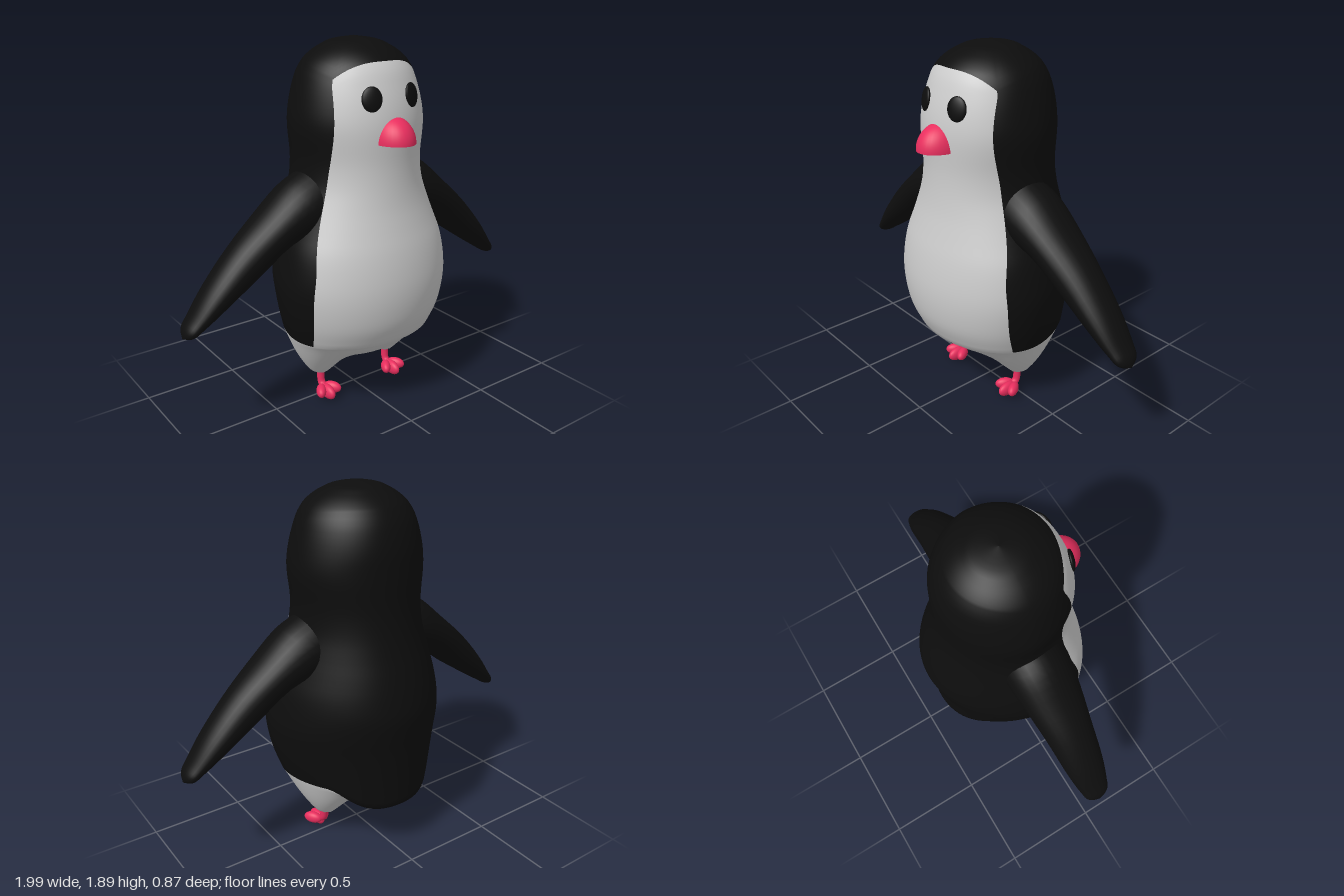
import * as THREE from 'three';

const mat = (color) => new THREE.MeshStandardMaterial({ color });
const GREY = mat(0xcccccc), BLACK = mat(0x0d0d0d), PINK = mat(0xe82e5e);
const { smoothstep, lerp } = THREE.MathUtils;

// Smooth curve through [key, value, value, ...] rows
function curve(rows) {
  const size = rows[0].length - 1;
  const f = new THREE.CubicInterpolant(rows.map((r) => r[0]), rows.flatMap((r) => r.slice(1)), size, new Float32Array(size));
  return (t) => [...f.evaluate(t)];
}

// Body profile: y, half width, front z, back z, z of the widest line
const profile = curve([
  [0.40, 0.41, 0.365, -0.395, 0.05],
  [0.50, 0.44, 0.41, -0.40, 0.07],
  [0.60, 0.46, 0.43, -0.41, 0.08],
  [0.70, 0.47, 0.435, -0.425, 0.08],
  [0.80, 0.46, 0.427, -0.435, 0.08],
  [0.90, 0.44, 0.41, -0.42, 0.07],
  [1.00, 0.405, 0.385, -0.395, 0.05],
  [1.10, 0.37, 0.362, -0.365, 0.03],
  [1.20, 0.34, 0.348, -0.34, 0.01],
  [1.30, 0.33, 0.342, -0.325, 0],
  [1.50, 0.345, 0.345, -0.32, 0],
  [1.60, 0.33, 0.33, -0.315, 0],
  [1.70, 0.302, 0.30, -0.292, 0],
  [1.75, 0.28, 0.28, -0.27, 0],
  [1.80, 0.24, 0.245, -0.232, 0],
  [1.85, 0.165, 0.17, -0.16, 0],
  [1.875, 0.10, 0.10, -0.10, 0],
  [1.89, 0, 0, 0, 0],
]);
// Half angle of the pale front at each height
const frontAngle = curve([[0.4, 1.16], [0.6, 1.1], [0.8, 1.06], [1.0, 1.08], [1.25, 1.02], [1.5, 0.89], [1.72, 0.95], [1.9, 0.95]]);

const FRONT = 32, COLS = 88, CAP = 32, SIDE = 48, DOME = 16;
const RIM = 0.4, BROW = 1.79, TOP = 1.89;

// Point on the body wall, with the brow line sagging at its ends and the tail drooping
function wallPoint(col, y) {
  const a = frontAngle(y)[0];
  const inFront = col <= FRONT;
  const k = inFront ? (2 * col) / FRONT - 1 : 1 - Math.abs((2 * (col - FRONT)) / (COLS - FRONT) - 1);
  const theta = inFront ? a * k : lerp(a, 2 * Math.PI - a, (col - FRONT) / (COLS - FRONT));
  const sag = inFront ? Math.abs(k) ** 3 : (1 - k) ** 3;
  const yy = y - 0.075 * sag * Math.exp(-(((y - BROW) / 0.09) ** 2)) * (1 - smoothstep(y, BROW, TOP));
  const [w, zf, zb, zc] = profile(yy);
  const s = Math.sin(theta), c = Math.cos(theta);
  const x = w * s;
  const z = c > 0 ? zc + (zf - zc) * c : zc + (zb - zc) * Math.abs(c) ** 1.12;
  const droop = 0.11 * smoothstep(-z, 0.2, 0.39);
  return { x, y: yy - droop * (1 - smoothstep(y, RIM, 0.65)), z, droop };
}

// Underside: a shallow bowl pulled down into two leg stumps
function underPoint(col, s) {
  const rim = wallPoint(col, RIM);
  const x = rim.x * s, z = rim.z * s;
  const bowl = 0.24 + 0.16 * s ** 2.5;
  const d = Math.hypot(Math.abs(x) - 0.22, (z + 0.015) * 0.92);
  const leg = 0.14 + 1.15 * Math.max(0, d - 0.05);
  const h = Math.max(0.05 - Math.abs(bowl - leg), 0) / 0.05;
  const low = Math.min(bowl, leg) - h * h * 0.0125;
  return { x, y: lerp(low, RIM, s ** 10) - rim.droop * s ** 8, z };
}

function buildBody() {
  const pos = [], grey = [], black = [];
  const rows = CAP + SIDE + DOME;
  for (let r = 0; r <= rows; r++) {
    for (let c = 0; c < COLS; c++) {
      let p;
      if (r < CAP) p = underPoint(c, r / CAP);
      else if (r <= CAP + SIDE) p = wallPoint(c, lerp(RIM, BROW, (r - CAP) / SIDE));
      else p = wallPoint(c, lerp(BROW, TOP, Math.sin(((r - CAP - SIDE) / DOME) * Math.PI / 2)));
      pos.push(p.x, p.y, p.z);
      if (r === rows) continue;
      const pale = r < CAP || (c < FRONT && r < CAP + SIDE);
      const n = (c + 1) % COLS, i = r * COLS;
      (pale ? grey : black).push(i + c, i + n, i + COLS + n, i + c, i + COLS + n, i + COLS + c);
    }
  }
  const whole = new THREE.BufferGeometry();
  whole.setAttribute('position', new THREE.Float32BufferAttribute(pos, 3));
  whole.setIndex([...grey, ...black]);
  whole.computeVertexNormals();
  // Both coats share vertices and normals so the surface stays smooth across them
  return [grey, black].map((index) => whole.clone().setIndex(index));
}

// Flipper rings: centre x, centre y, thickness radius, z radius
function buildFlipper(side) {
  const ring = curve([
    [0, 0.20, 1.12, 0.19, 0.17],
    [1, 0.33, 1.09, 0.155, 0.17],
    [2, 0.49, 1.01, 0.11, 0.15],
    [3, 0.655, 0.88, 0.098, 0.125],
    [4, 0.81, 0.745, 0.072, 0.105],
    [5, 0.92, 0.64, 0.043, 0.08],
    [6, 0.975, 0.588, 0.025, 0.052],
    [6.5, 0.995, 0.57, 0, 0],
  ]);
  const R = 30, C = 28, pos = [], idx = [];
  for (let r = 0; r <= R; r++) {
    const t = 6.5 * Math.sin((r / R) * Math.PI / 2);
    const [x, y, a, b] = ring(t);
    for (let c = 0; c < C; c++) {
      const q = (c / C) * Math.PI * 2, u = a * Math.cos(q);
      pos.push(side * (x + 0.6 * u), y + 0.8 * u, 0.02 + b * Math.sin(q));
      if (r === R) continue;
      const n = (c + 1) % C, i = r * C, j = i + C;
      if (side > 0) idx.push(i + c, i + n, j + n, i + c, j + n, j + c);
      else idx.push(i + c, j + n, i + n, i + c, j + c, j + n);
    }
  }
  const g = new THREE.BufferGeometry();
  g.setAttribute('position', new THREE.Float32BufferAttribute(pos, 3));
  g.setIndex(idx);
  g.computeVertexNormals();
  return g;
}

export function createModel() {
  const model = new THREE.Group();
  const add = (name, geometry, material, parent = model) => {
    const m = new THREE.Mesh(geometry, material);
    m.name = name;
    parent.add(m);
    return m;
  };
  const ball = new THREE.SphereGeometry(1, 24, 16);

  const [pale, dark] = buildBody();
  add('bellyAndFace', pale, GREY);
  add('backAndHead', dark, BLACK);

  // Beak: half dome with a flat underside
  const beak = new THREE.Group();
  beak.name = 'beak';
  add('beakDome', new THREE.SphereGeometry(1, 32, 16, 0, Math.PI * 2, 0, Math.PI / 2), PINK, beak);
  add('beakBase', new THREE.CircleGeometry(1, 32).rotateX(Math.PI / 2), PINK, beak);
  beak.scale.set(0.102, 0.125, 0.132);
  beak.position.set(0, 1.42, 0.305);
  model.add(beak);

  for (const side of [1, -1]) {
    const label = side > 0 ? 'left' : 'right';
    add(label + 'Flipper', buildFlipper(side), BLACK);

    const eye = add(label + 'Eye', ball, BLACK);
    eye.scale.set(0.05, 0.059, 0.016);
    eye.position.set(side * 0.117, 1.63, 0.302);
    eye.rotation.set(-0.17, side * 0.37, 0, 'YXZ');

    // Foot: bent shank and three toes
    const foot = new THREE.Group();
    foot.name = label + 'Foot';
    foot.position.x = side * 0.22;
    model.add(foot);
    const shank = new THREE.CatmullRomCurve3([[0.18, 0], [0.11, 0], [0.07, 0.008], [0.045, 0.04]].map(([y, z]) => new THREE.Vector3(0, y, z)));
    add('shank', new THREE.TubeGeometry(shank, 16, 0.02, 14), PINK, foot);
    for (const k of [-1, 0, 1]) {
      const toe = add('toe', ball, PINK, foot);
      toe.scale.set(0.027, k ? 0.032 : 0.039, k ? 0.052 : 0.06);
      toe.position.set(k * 0.035, k ? 0.05 : 0.039, k ? 0.058 : 0.068);
      toe.rotation.y = k * 0.55;
    }
  }
  return model;
}
